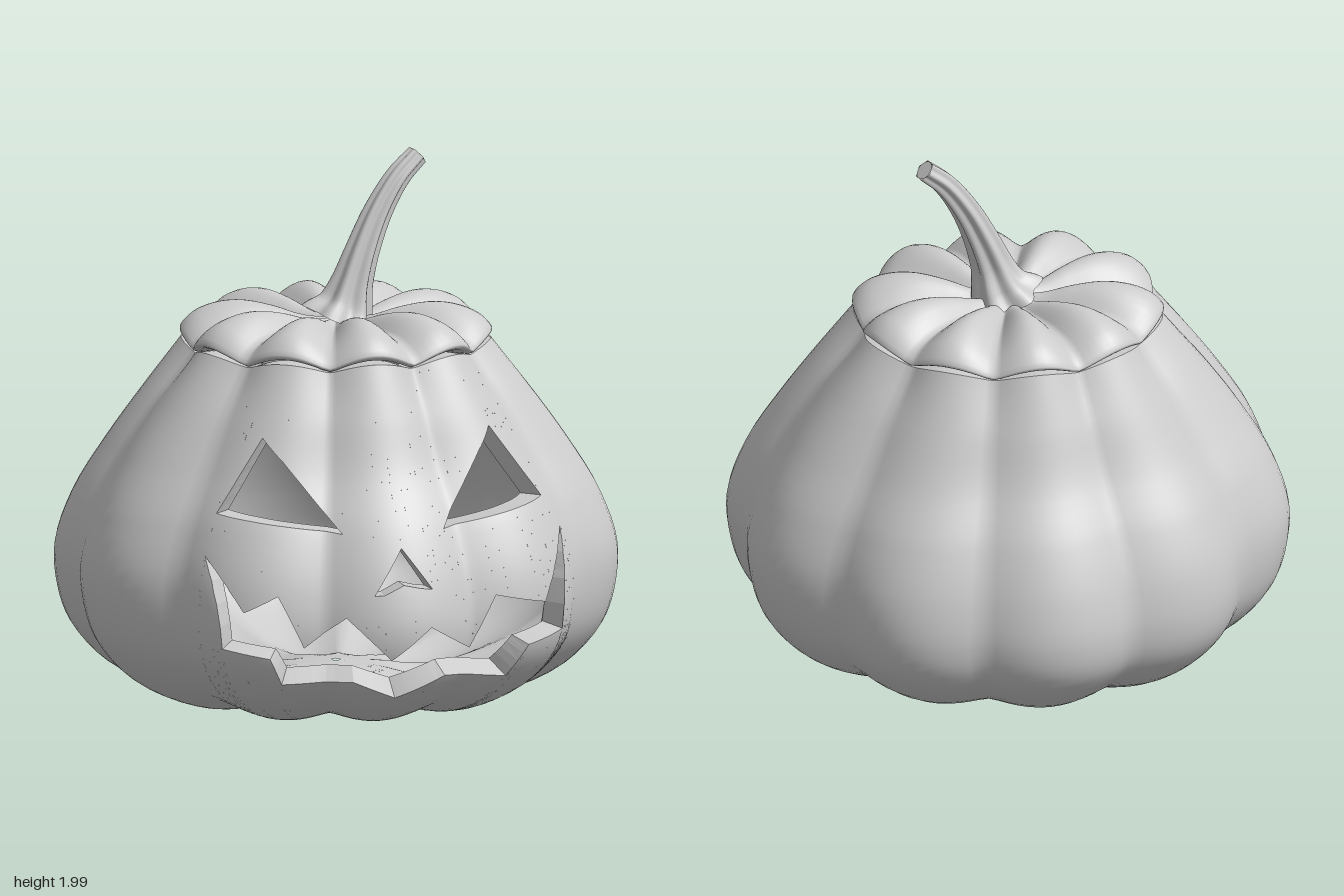
import * as THREE from 'three';
import { ParametricGeometry } from 'three/addons/geometries/ParametricGeometry.js';

const V = (x, y, z) => new THREE.Vector3(x, y, z);
const TAU = Math.PI * 2;
const material = new THREE.MeshStandardMaterial({ color: 0xcccccc });
const wallMaterial = new THREE.MeshStandardMaterial({ color: 0xcccccc, side: THREE.DoubleSide });
const smooth = THREE.MathUtils.smoothstep;

// Ten lobes: 1 on a rib, near 0 in a groove
const lobe = (a) => Math.sqrt(Math.cos(5 * a) ** 2 * 0.985 + 0.015);

// Body profile: front radius, height, side radius
const profile = new THREE.CatmullRomCurve3([
  [0.02, 0.06, 0.02], [0.2, 0.045, 0.2], [0.42, 0.004, 0.42], [0.62, 0.03, 0.62],
  [0.81, 0.135, 0.84], [0.93, 0.28, 0.97], [0.95, 0.4, 1.015], [0.915, 0.56, 1.03],
  [0.83, 0.75, 0.97], [0.7, 0.95, 0.85], [0.615, 1.14, 0.71], [0.53, 1.325, 0.565],
].map((p) => V(...p)));

function outerPoint(a, t) {
  const p = profile.getPoint(t), groove = 1 - lobe(a);
  const r = THREE.MathUtils.lerp(p.x, p.z, Math.sin(a) ** 2) * (1 - 0.07 * groove);
  const lift = 0.03 * groove * smooth(t, 0.05, 0.2) * (1 - smooth(t, 0.25, 0.45));
  const y = p.y + lift - 0.035 * groove * smooth(t, 0.88, 1);
  return V(r * Math.sin(a), y, r * Math.cos(a));
}

// The inside follows the outside, with a raised floor
function innerPoint(a, t) {
  const p = outerPoint(a, t), r = Math.hypot(p.x, p.z);
  const k = Math.max(r - 0.085, r * 0.8) / r;
  return V(p.x * k, p.y + 0.07 * (1 - smooth(p.y, 0.05, 0.5)), p.z * k);
}

// Front position (x, y) to angle and profile parameter
function toSurface([x, y]) {
  let a = 0, t = 0.5;
  for (let k = 0; k < 12; k++) {
    let lo = 0.25, hi = 1;
    for (let i = 0; i < 24; i++) {
      t = (lo + hi) / 2;
      if (outerPoint(a, t).y < y) lo = t; else hi = t;
    }
    const p = outerPoint(a, t);
    a = Math.asin(THREE.MathUtils.clamp(x / Math.hypot(p.x, p.z), -1, 1));
  }
  return [a, t];
}

// Carved openings
const eye = [[0.425, 1.08], [0.61, 0.82], [0.19, 0.758]];
const holes = [
  eye,
  eye.map(([x, y]) => [-x, y]),
  [[0.01, 0.71], [-0.105, 0.55], [-0.07, 0.552], [0.005, 0.585], [0.07, 0.57], [0.115, 0.563]],
  [[-0.665, 0.675], [-0.565, 0.49], [-0.445, 0.55], [-0.355, 0.36], [-0.205, 0.47], [-0.05, 0.315],
    [0.1, 0.43], [0.265, 0.33], [0.37, 0.515], [0.57, 0.47], [0.68, 0.71], [0.655, 0.35],
    [0.5, 0.32], [0.425, 0.2], [0.17, 0.235], [-0.01, 0.155], [-0.17, 0.225], [-0.42, 0.215],
    [-0.475, 0.32], [-0.63, 0.35]],
];

// Opening edges on the surface, split so they stay straight from the front
const edges = [];
for (const hole of holes) {
  const pts = hole.flatMap(([x, y], i) => {
    const [nx, ny] = hole[(i + 1) % hole.length];
    return [0, 0.25, 0.5, 0.75].map((k) => toSurface([x + (nx - x) * k, y + (ny - y) * k]));
  });
  pts.forEach((p, i) => edges.push([p, pts[(i + 1) % pts.length]].sort((m, n) => m[0] - n[0])));
}

// Vertical strips, broken at every opening corner; spans are the solid parts of each
const angles = edges.flatMap((e) => [e[0][0], e[1][0]]);
for (let i = 0; i <= 120; i++) angles.push(-Math.PI + (TAU * i) / 120);
angles.sort((m, n) => m - n);
const spans = [], cuts = [];
for (let i = 0; i + 1 < angles.length; i++) {
  const a = angles[i], b = angles[i + 1], mid = (a + b) / 2;
  if (b - a < 1e-7) continue;
  const crossing = edges.filter(([p, q]) => p[0] < mid && q[0] > mid).map(([p, q]) => {
    const at = (u) => p[1] + ((q[1] - p[1]) * (u - p[0])) / (q[0] - p[0]);
    return [at(a), at(b)];
  }).sort((m, n) => m[0] + m[1] - n[0] - n[1]);
  crossing.forEach((c) => cuts.push([a, b, c]));
  const bounds = [[0, 0], ...crossing, [1, 1]];
  for (let k = 0; k < bounds.length; k += 2) spans.push([a, b, bounds[k], bounds[k + 1]]);
}

function shell(point, flip) {
  const pos = [], nor = [];
  const put = (a, t) => {
    const e = 1e-3, t0 = Math.max(t - e, 0), t1 = Math.min(t + e, 1);
    const du = point(a + e, t).sub(point(a - e, t));
    const n = du.cross(point(a, t1).sub(point(a, t0))).normalize();
    pos.push(...point(a, t).toArray());
    nor.push(...n.multiplyScalar(flip ? -1 : 1).toArray());
  };
  for (const [a, b, lo, hi] of spans) {
    const rows = Math.max(1, Math.ceil((hi[0] + hi[1] - lo[0] - lo[1]) * 22));
    const row = (s, k) => lo[s] + ((hi[s] - lo[s]) * k) / rows;
    for (let k = 0; k < rows; k++) {
      const q = [[a, row(0, k)], [b, row(1, k)], [b, row(1, k + 1)], [a, row(0, k + 1)]];
      for (const c of flip ? [0, 2, 1, 0, 3, 2] : [0, 1, 2, 0, 2, 3]) put(...q[c]);
    }
  }
  const g = new THREE.BufferGeometry();
  g.setAttribute('position', new THREE.Float32BufferAttribute(pos, 3));
  g.setAttribute('normal', new THREE.Float32BufferAttribute(nor, 3));
  return g;
}

// Flat faces joining the outside to the inside
function walls(list) {
  const pos = [];
  for (const [a, b, [s, t]] of list) {
    const q = [outerPoint(a, s), outerPoint(b, t), innerPoint(b, t), innerPoint(a, s)];
    for (const c of [0, 1, 2, 0, 2, 3]) pos.push(...q[c].toArray());
  }
  const g = new THREE.BufferGeometry();
  g.setAttribute('position', new THREE.Float32BufferAttribute(pos, 3));
  g.computeVertexNormals();
  return g;
}

// Lid surfaces: radius, height and groove depth from the rim to the middle
function lidSurface(points) {
  const curve = new THREE.CatmullRomCurve3(points.map((p) => V(...p)));
  return (u, v, target) => {
    const a = u * TAU, p = curve.getPoint(v), groove = 1 - lobe(a);
    const r = p.x * (1 + 0.05 * Math.sin(a) ** 2) * (1 - 0.06 * groove);
    target.set(r * Math.sin(a), p.y - p.z * groove, r * Math.cos(a));
  };
}
const lidTop = lidSurface([[0.52, 1.34, 0.05], [0.542, 1.355, 0.055], [0.5, 1.41, 0.07], [0.42, 1.447, 0.08],
  [0.33, 1.457, 0.08], [0.22, 1.437, 0.06], [0.12, 1.405, 0.025], [0.01, 1.395, 0]]);
const lidUnder = lidSurface([[0.52, 1.34, 0.05], [0.4, 1.335, 0.04], [0.2, 1.33, 0.02], [0.01, 1.33, 0]]);

// Curved, fluted stem with a flared foot
const stemPath = new THREE.CatmullRomCurve3([V(0.01, 1.385, 0), V(0.035, 1.44, 0), V(0.06, 1.52, 0),
  V(0.1, 1.63, -0.01), V(0.165, 1.77, -0.03), V(0.245, 1.89, -0.05), V(0.325, 1.965, -0.07)]);
const stemRadius = new THREE.CatmullRomCurve3([0.135, 0.095, 0.07, 0.057, 0.047, 0.04, 0.036]
  .map((r, i) => V(r, i / 6, 0)));
function stemPoint(u, v, target) {
  const a = u * TAU, c = stemPath.getPoint(v), tangent = stemPath.getTangent(v);
  const side = V(0, 0, 1).cross(tangent).normalize(), front = tangent.cross(side);
  const r = stemRadius.getPoint(v).x * (1 + 0.13 * Math.cos(6 * a + 2 * v));
  target.copy(c).addScaledVector(side, -r * Math.cos(a)).addScaledVector(front, -r * Math.sin(a));
}

export function createModel() {
  const model = new THREE.Group();
  const add = (parent, name, geometry, mat = material) => {
    const mesh = new THREE.Mesh(geometry, mat);
    mesh.name = name;
    parent.add(mesh);
    return mesh;
  };
  const group = (name) => {
    const g = new THREE.Group();
    g.name = name;
    model.add(g);
    return g;
  };

  const body = group('body');
  add(body, 'outerSkin', shell(outerPoint, false));
  add(body, 'innerSkin', shell(innerPoint, true));
  add(body, 'carvedEdges', walls(cuts), wallMaterial);
  add(body, 'rim', walls(spans.filter((s) => s[3][0] === 1).map(([a, b]) => [a, b, [1, 1]])), wallMaterial);

  const lid = group('lid');
  add(lid, 'lidTop', new ParametricGeometry(lidTop, 120, 24));
  add(lid, 'lidUnderside', new ParametricGeometry(lidUnder, 120, 8), wallMaterial);

  const stem = group('stem');
  add(stem, 'stalk', new ParametricGeometry(stemPoint, 48, 28), wallMaterial);
  const tip = add(stem, 'stalkTip', new THREE.CircleGeometry(0.036, 24), wallMaterial);
  tip.position.copy(stemPath.getPoint(1));
  tip.quaternion.setFromUnitVectors(V(0, 0, 1), stemPath.getTangent(1));
  return model;
}
